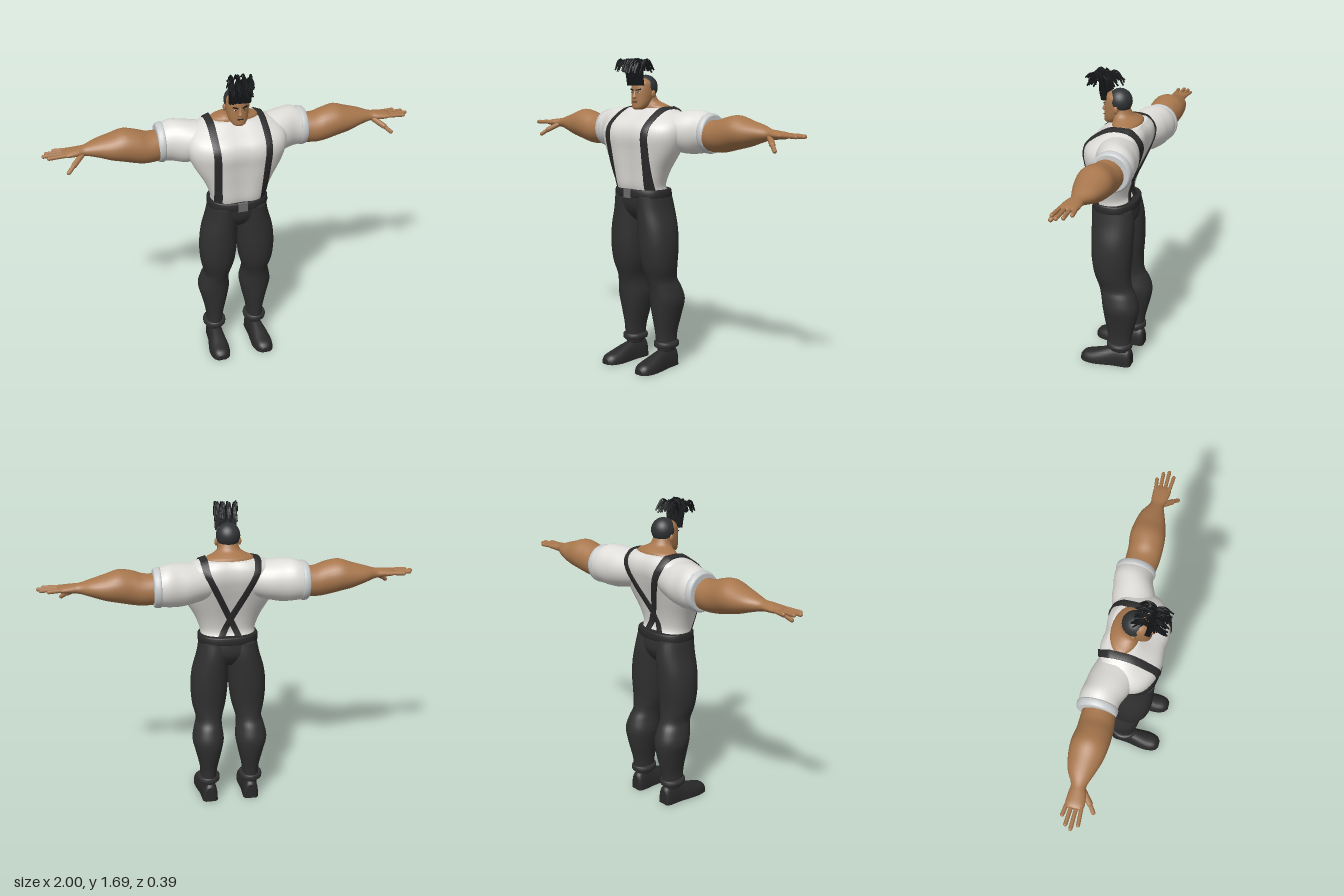
import * as THREE from 'three';
import { mergeGeometries } from 'three/addons/utils/BufferGeometryUtils.js';

const mat = (name, color, side = THREE.FrontSide) => {
  const m = new THREE.MeshStandardMaterial({ color, side });
  m.name = name;
  return m;
};

// Catmull-Rom blend of numeric rows, giving `sub` steps between each pair
function refine(rows, sub) {
  const out = [];
  const at = (i) => rows[Math.min(Math.max(i, 0), rows.length - 1)];
  for (let i = 0; i < rows.length - 1; i++) {
    for (let s = 0; s < sub; s++) {
      const t = s / sub, [a, b, c, d] = [at(i - 1), at(i), at(i + 1), at(i + 2)];
      out.push(b.map((_, k) => b[k] + 0.5 * t * (c[k] - a[k] +
        t * (2 * a[k] - 5 * b[k] + 4 * c[k] - d[k] + t * (3 * (b[k] - c[k]) + d[k] - a[k])))));
    }
  }
  out.push(rows[rows.length - 1]);
  return out;
}

// Closed loft along an axis; rows are [position, centre1, radius1, centre2, radius2]
function loft(axis, rows, { n = 2, sub = 4, seg = 28, shape = null } = {}) {
  const place = {
    x: (t, a, b) => new THREE.Vector3(t, a, b),
    y: (t, a, b) => new THREE.Vector3(a, t, b),
    z: (t, a, b) => new THREE.Vector3(a, b, t),
  }[axis];
  const fine = refine(rows, sub), pos = [], idx = [];
  const add = (p) => { if (shape) shape(p); pos.push(p.x, p.y, p.z); };
  const tri = (a, b, c) => (axis === 'y' ? idx.push(a, c, b) : idx.push(a, b, c));
  const pw = (v) => Math.sign(v) * Math.abs(v) ** (2 / n);
  for (const [t, c1, r1, c2, r2] of fine) {
    for (let j = 0; j < seg; j++) {
      const a = (j / seg) * Math.PI * 2;
      add(place(t, c1 + r1 * pw(Math.cos(a)), c2 + r2 * pw(Math.sin(a))));
    }
  }
  const last = fine.length - 1, s = last * seg, tip = fine.length * seg;
  for (const r of [fine[0], fine[last]]) add(place(r[0], r[1], r[3]));
  for (let j = 0; j < seg; j++) {
    const k = (j + 1) % seg;
    for (let i = 0; i < last; i++) {
      const a = i * seg + j, b = i * seg + k;
      tri(a, b, b + seg);
      tri(a, b + seg, a + seg);
    }
    tri(tip, k, j);
    tri(tip + 1, s + j, s + k);
  }
  const g = new THREE.BufferGeometry();
  g.setAttribute('position', new THREE.Float32BufferAttribute(pos, 3));
  g.setIndex(idx);
  g.computeVertexNormals();
  return g;
}

export function createModel() {
  const skin = mat('skin', 0xa8774d), shirt = mat('shirt', 0xdedcd8), hemGrey = mat('sleeveHem', 0xc9cccd);
  const cloth = mat('trousers', 0x303030), leather = mat('leather', 0x2a2929);
  const strapMat = mat('straps', 0x2c2c2c, THREE.DoubleSide), hairMat = mat('hair', 0x151719);
  const scalpMat = mat('croppedHair', 0x303335), metal = mat('buckleMetal', 0x6c6c6c), eyeMat = mat('eyeWhite', 0xd0ccc4);

  const root = new THREE.Group();
  root.name = 'strongman';
  const mesh = (name, geo, m, parent = root) => {
    const o = new THREE.Mesh(geo, m);
    o.name = name;
    parent.add(o);
    return o;
  };
  const ball = (name, m, p, r, parent = root) =>
    mesh(name, new THREE.SphereGeometry(1, 24, 16).scale(...r).translate(...p), m, parent);
  const limb = (name, a, b, r, m, parent) => {
    const A = new THREE.Vector3(...a), B = new THREE.Vector3(...b), d = B.clone().sub(A);
    const o = mesh(name, new THREE.CapsuleGeometry(r, d.length(), 5, 10), m, parent);
    o.position.copy(A).add(B).multiplyScalar(0.5);
    o.quaternion.setFromUnitVectors(new THREE.Vector3(0, 1, 0), d.normalize());
  };

  // Torso, with a groove down the chest and spine
  const torso = mesh('shirtBody', loft('y', [
    [0.98, 0, 0.15, 0.025, 0.105], [1.02, 0, 0.152, 0.04, 0.102], [1.1, 0, 0.183, 0.036, 0.114],
    [1.2, 0, 0.24, 0.024, 0.137], [1.28, 0, 0.268, 0.014, 0.157], [1.34, 0, 0.262, -0.004, 0.155],
    [1.39, 0, 0.22, -0.033, 0.12], [1.425, 0, 0.145, -0.043, 0.085],
  ], { n: 2.3, seg: 48, shape: (p) => { p.z -= Math.sign(p.z + 0.01) * 0.013 * Math.exp(-((p.x / 0.05) ** 2)); } }), shirt);

  // Neck and upper shoulders
  mesh('neck', loft('y', [
    [1.39, 0, 0.14, -0.04, 0.08], [1.43, 0, 0.128, -0.04, 0.075], [1.448, 0, 0.088, -0.03, 0.064],
    [1.47, 0, 0.058, -0.01, 0.052], [1.52, 0, 0.05, 0.005, 0.045],
  ]), skin);

  // Head
  mesh('head', loft('y', [
    [1.416, 0, 0.018, 0.058, 0.02], [1.426, 0, 0.036, 0.052, 0.036], [1.45, 0, 0.05, 0.04, 0.048],
    [1.49, 0, 0.058, 0.025, 0.063], [1.53, 0, 0.06, 0.018, 0.069], [1.56, 0, 0.056, 0.014, 0.066],
    [1.58, 0, 0.038, 0.012, 0.048], [1.59, 0, 0.01, 0.01, 0.015],
  ], { n: 2.2 }), skin);
  ball('croppedHair', scalpMat, [0, 1.535, 0.004], [0.064, 0.066, 0.065]);
  mesh('nose', loft('y', [[1.476, 0, 0.009, 0.084, 0.01], [1.482, 0, 0.014, 0.087, 0.017],
    [1.5, 0, 0.008, 0.085, 0.011], [1.52, 0, 0.006, 0.082, 0.006]], { seg: 12 }), skin);
  mesh('mouth', new THREE.BoxGeometry(0.03, 0.005, 0.008).translate(0, 1.458, 0.087), leather);

  // Belt and buckle
  mesh('belt', loft('y', [[0.952, 0, 0.16, 0.022, 0.119], [0.957, 0, 0.165, 0.022, 0.123],
    [0.988, 0, 0.163, 0.022, 0.122], [0.994, 0, 0.157, 0.022, 0.116]], { n: 2.4, seg: 40, sub: 2 }), leather);
  mesh('buckle', new THREE.BoxGeometry(0.05, 0.05, 0.012).translate(0, 0.973, 0.143), metal);
  mesh('hips', loft('y', [[0.82, 0, 0.06, 0.01, 0.06], [0.85, 0, 0.11, 0.013, 0.088],
    [0.9, 0, 0.16, 0.015, 0.112], [0.97, 0, 0.155, 0.022, 0.114]], { n: 2.3 }), cloth);

  // Paired parts, built on the left and mirrored
  let sleeve;
  for (const side of [1, -1]) {
    const half = new THREE.Group();
    half.name = side > 0 ? 'leftSide' : 'rightSide';
    half.scale.x = side;
    root.add(half);
    const s = mesh('sleeve', loft('x', [
      [0.08, 1.31, 0.09, -0.03, 0.1], [0.2, 1.303, 0.106, -0.055, 0.115], [0.27, 1.302, 0.115, -0.07, 0.111],
      [0.33, 1.305, 0.112, -0.088, 0.103], [0.38, 1.299, 0.1, -0.09, 0.098], [0.405, 1.297, 0.095, -0.09, 0.094],
    ]), shirt, half);
    sleeve = sleeve || s;
    mesh('sleeveHem', loft('x', [[0.368, 1.3, 0.1, -0.09, 0.098], [0.376, 1.3, 0.107, -0.09, 0.105],
      [0.4, 1.298, 0.103, -0.09, 0.102], [0.408, 1.297, 0.094, -0.09, 0.093]], { sub: 2 }), hemGrey, half);
    mesh('arm', loft('x', [
      [0.36, 1.292, 0.08, -0.08, 0.08], [0.45, 1.288, 0.083, -0.074, 0.088], [0.51, 1.3, 0.09, -0.072, 0.09],
      [0.58, 1.314, 0.087, -0.077, 0.093], [0.65, 1.312, 0.068, -0.08, 0.084], [0.72, 1.314, 0.046, -0.082, 0.064],
      [0.78, 1.313, 0.028, -0.075, 0.038], [0.82, 1.313, 0.023, -0.07, 0.043], [0.87, 1.312, 0.018, -0.068, 0.047],
      [0.895, 1.312, 0.01, -0.068, 0.04],
    ]), skin, half);

    // Fingers and thumb
    [[-0.103, -0.112, 0.935], [-0.08, -0.086, 0.975], [-0.056, -0.057, 0.99], [-0.034, -0.027, 0.965]].forEach(
      ([z0, z1, x1]) => limb('finger', [0.86, 1.314, z0], [x1 - 0.0, 1.312, z1], 0.01, skin, half));
    limb('thumb', [0.8, 1.3, -0.045], [0.845, 1.27, -0.005], 0.015, skin, half);
    limb('thumbTip', [0.845, 1.27, -0.005], [0.878, 1.243, 0.02], 0.011, skin, half);

    // Leg, cuff and shoe
    mesh('trouserLeg', loft('y', [
      [0.09, 0.122, 0.038, -0.035, 0.055], [0.13, 0.122, 0.045, -0.035, 0.065], [0.2, 0.12, 0.05, -0.037, 0.073],
      [0.3, 0.12, 0.072, -0.042, 0.093], [0.38, 0.122, 0.088, -0.042, 0.103], [0.45, 0.119, 0.078, -0.027, 0.098],
      [0.5, 0.112, 0.073, -0.008, 0.093], [0.58, 0.11, 0.093, 0.009, 0.102], [0.68, 0.107, 0.103, 0.013, 0.113],
      [0.78, 0.1, 0.1, 0.013, 0.117], [0.88, 0.086, 0.086, 0.014, 0.118], [0.96, 0.077, 0.08, 0.022, 0.113],
    ], { n: 2.1 }), cloth, half);
    mesh('trouserCuff', loft('y', [[0.112, 0.122, 0.052, -0.036, 0.066], [0.117, 0.122, 0.064, -0.036, 0.074],
      [0.14, 0.122, 0.064, -0.036, 0.074], [0.146, 0.122, 0.05, -0.036, 0.068]], { sub: 2 }), cloth, half);
    mesh('shoe', loft('z', [
      [-0.106, 0.118, 0.028, 0, 0.085], [-0.09, 0.118, 0.042, 0, 0.103], [-0.05, 0.119, 0.045, 0, 0.11],
      [0, 0.122, 0.046, 0, 0.102], [0.06, 0.126, 0.054, 0, 0.084], [0.12, 0.128, 0.058, 0, 0.064],
      [0.17, 0.13, 0.046, 0, 0.05], [0.192, 0.131, 0.022, 0, 0.028],
    ], { n: 2.5, shape: (p) => { p.y = Math.max(p.y, 0); } }), leather, half);

    // Face details
    ball('ear', skin, [0.063, 1.5, 0.008], [0.008, 0.02, 0.013], half);
    ball('eye', eyeMat, [0.023, 1.508, 0.081], [0.009, 0.004, 0.004], half);
    ball('pupil', hairMat, [0.023, 1.508, 0.084], [0.004, 0.004, 0.002], half);
    const brow = mesh('eyebrow', new THREE.BoxGeometry(0.028, 0.006, 0.009), hairMat, half);
    brow.position.set(0.024, 1.522, 0.083);
    brow.rotation.set(0, 0.35, 0.2);
  }

  // Braces: rays find the shirt surface in front, over the shoulder and down the crossed back
  root.updateMatrixWorld(true);
  const steps = [];
  const V = (x, y, z) => new THREE.Vector3(x, y, z);
  for (let i = 0; i <= 8; i++) steps.push([0.123 + 0.0022 * i, V(0, 0.99 + 0.046 * i, 1), V(0, 0, -1)]);
  for (const z of [0.03, -0.02, -0.07, -0.1]) steps.push([0.14, V(0, 2, z), V(0, -1, 0)]);
  for (let i = 0; i <= 8; i++) steps.push([0.13 - 0.0222 * i, V(0, 1.37 - 0.0475 * i, -1), V(0, 0, 1)]);
  const lines = [[-0.018, 0], [-0.018, 0.008], [0.018, 0.008], [0.018, 0]].map(([dx, lift]) => {
    const pts = [];
    for (const [x, o, d] of steps) {
      const hit = new THREE.Raycaster(o.clone().setX(x + dx), d).intersectObjects([torso, sleeve], false)[0];
      if (hit) pts.push(hit.point.clone().addScaledVector(d, -lift));
    }
    return new THREE.CatmullRomCurve3(pts).getPoints(70);
  });
  const band = new THREE.PlaneGeometry(1, 1, 3, 70);
  for (let i = 0; i <= 70; i++) lines.forEach((l, j) => band.attributes.position.setXYZ(i * 4 + j, ...l[i].toArray()));
  band.computeVertexNormals();
  mesh('leftBrace', band, strapMat);
  mesh('rightBrace', band, strapMat).scale.x = -1;

  // Tall brush of hair, fanning forward and back from the hairline
  let seed = 7;
  const rnd = () => (seed = (seed * 16807) % 2147483647) / 2147483647;
  const strands = [];
  for (let i = 0; i < 100; i++) {
    const x = ((i % 20) / 19 - 0.5) * 0.11, fwd = i % 5 < 3 ? 0.03 + 0.055 * rnd() : -0.025 - 0.065 * rnd();
    const top = 1.655 + 0.03 * rnd(), z = 0.066 + 0.022 * rnd();
    strands.push(new THREE.TubeGeometry(new THREE.CatmullRomCurve3([
      V(x * 0.95, 1.545, z), V(x, 1.61, z + 0.01), V(x * 1.1, top - 0.01, z + 0.012 + fwd * 0.2),
      V(x * 1.15, top, z + 0.012 + fwd * 0.55), V(x * 1.15 + 0.01 * (rnd() - 0.5), top - 0.02 - 0.04 * rnd(), z + 0.01 + fwd),
    ]), 12, 0.0045, 5));
  }
  mesh('hairBrush', mergeGeometries(strands), hairMat);
  return root;
}
